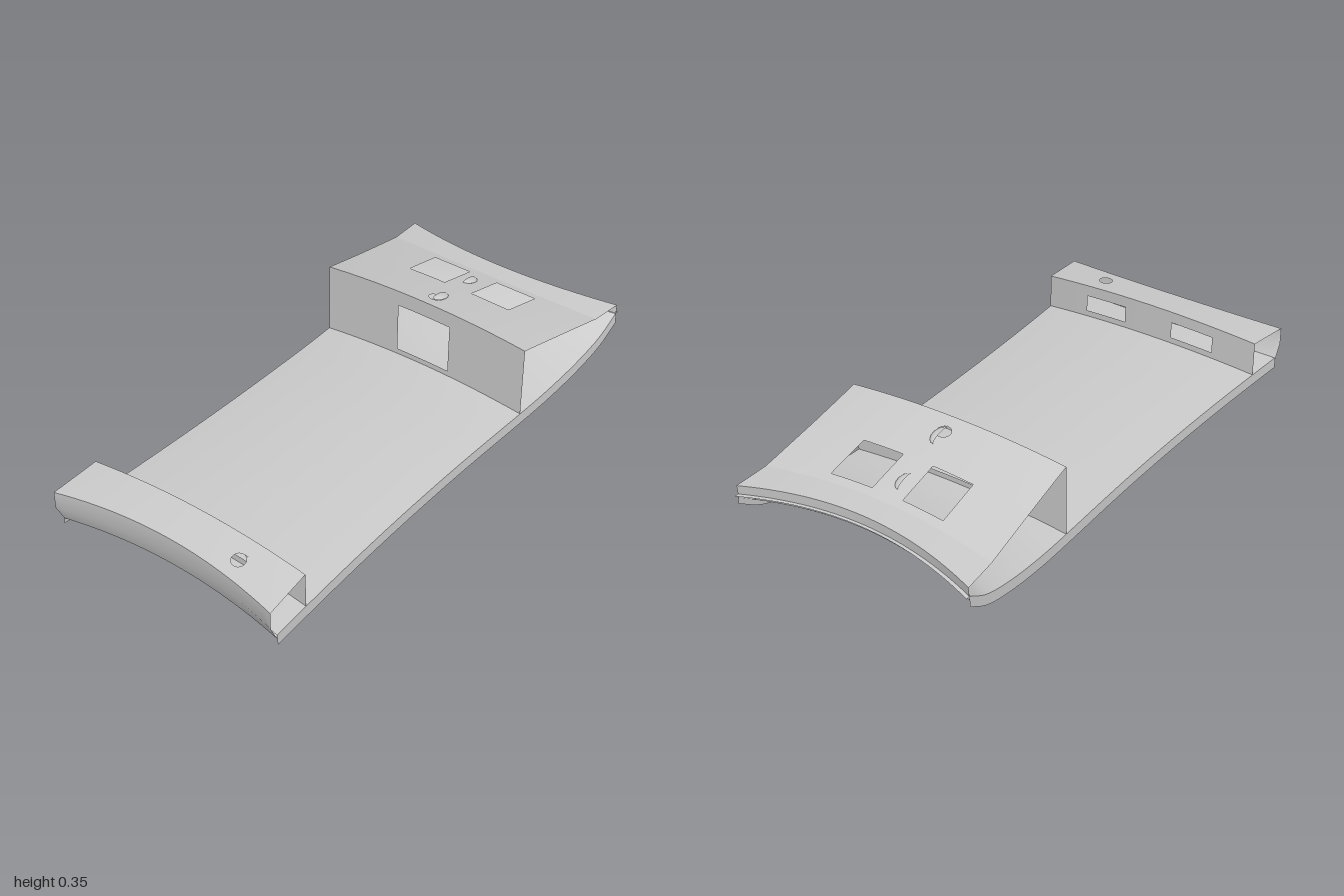
import * as THREE from 'three';
import { mergeGeometries } from 'three/addons/utils/BufferGeometryUtils.js';

const material = new THREE.MeshStandardMaterial({ color: 0xcccccc, side: THREE.DoubleSide });
const CAMBER = 0.025;
const halfWidth = (x) => 0.428 + 0.037 * x * x;

// A point of a cambered, waisted skin: t runs from -1 to 1 across the width
function place([x, y, bow], t) {
  const px = x + bow * t * t;
  return [px, y - CAMBER * t * t, t * halfWidth(px)];
}

// Profile point [x, y, bow] where coordinate `axis` equals s
function sample(profile, axis, s) {
  let i = 0;
  while (i < profile.length - 2 && s > profile[i + 1][axis]) i++;
  const a = profile[i], b = profile[i + 1];
  const f = (s - a[axis]) / (b[axis] - a[axis]);
  return a.map((v, k) => v + (b[k] - v) * f);
}

// Sweep a profile across the width. Holes are {s: [from, to], z: [from, to], round}
function skinGeometry(profile, axis, holes = []) {
  const sorted = (list) => [...new Set(list.map((v) => +v.toFixed(5)))].sort((a, b) => a - b);
  const toT = (z) => z / 0.44;
  const cols = sorted([...profile.map((p) => p[axis]), ...holes.flatMap((h) => h.s)]);
  const rows = sorted([...Array.from({ length: 33 }, (_, i) => i / 16 - 1), ...holes.flatMap((h) => h.z.map(toT))]);
  const positions = [], index = [];
  for (const s of cols) for (const t of rows) positions.push(...place(sample(profile, axis, s), t));
  const n = rows.length;
  for (let i = 0; i < cols.length - 1; i++) {
    for (let j = 0; j < n - 1; j++) {
      const s = (cols[i] + cols[i + 1]) / 2, t = (rows[j] + rows[j + 1]) / 2;
      if (holes.some((h) => s > h.s[0] && s < h.s[1] && t > toT(h.z[0]) && t < toT(h.z[1]))) continue;
      const a = i * n + j, b = a + 1, c = a + n, d = c + 1;
      index.push(a, b, c, b, d, c);
    }
  }
  const grid = new THREE.BufferGeometry();
  grid.setAttribute('position', new THREE.Float32BufferAttribute(positions, 3));
  grid.setIndex(index);
  grid.computeVertexNormals();
  const parts = [grid];

  // Fill the corners around each round opening
  for (const { s, z, round } of holes) {
    if (!round) continue;
    const patch = new THREE.Shape([[0, 0], [1, 0], [1, 1], [0, 1]].map(
      ([u, v]) => new THREE.Vector2(s[u], z[v])));
    patch.holes.push(new THREE.Path().absellipse((s[0] + s[1]) / 2, (z[0] + z[1]) / 2,
      (s[1] - s[0]) * 0.48, (z[1] - z[0]) * 0.48, 0, Math.PI * 2));
    const g = new THREE.ShapeGeometry(patch, 16);
    const p = g.attributes.position;
    for (let i = 0; i < p.count; i++) p.setXYZ(i, ...place(sample(profile, axis, p.getX(i)), toT(p.getY(i))));
    const ids = g.index.array;
    for (let i = 0; i < ids.length; i += 3) [ids[i], ids[i + 1]] = [ids[i + 1], ids[i]];
    g.deleteAttribute('uv');
    g.computeVertexNormals();
    parts.push(g);
  }
  return mergeGeometries(parts);
}

export function createModel() {
  const model = new THREE.Group();
  const add = (name, geometry) => {
    const mesh = new THREE.Mesh(geometry, material);
    mesh.name = name;
    model.add(mesh);
    return mesh;
  };

  // Long lower shell, curling up at the +x end
  const curve = new THREE.CatmullRomCurve3([
    [-0.935, 0.05, -0.035], [-0.81, 0.051, -0.012], [-0.4, 0.056, 0], [0, 0.06, 0], [0.41, 0.064, 0],
    [0.55, 0.073, 0.02], [0.7, 0.099, 0.045], [0.82, 0.14, 0.066], [0.91, 0.2, 0.075],
  ].map((p) => new THREE.Vector3(...p)), false, 'centripetal');
  const hull = curve.getPoints(48).map((p) => p.toArray());
  const raised = hull.map(([x, y, b]) => [x, y + 0.015, b]);
  add('hullUnderside', skinGeometry(hull, 0));
  add('floor', skinGeometry(raised, 0));

  // Side lips hanging below the shell edges
  for (const side of [1, -1]) {
    const pos = [], index = [];
    hull.forEach((p, i) => {
      const [x, y, z] = place(p, side);
      pos.push(x, y + 0.015, z, x, y - 0.025, z + side * 0.003);
      if (i) {
        const a = 2 * i - 2;
        index.push(...(side > 0 ? [a, a + 1, a + 2, a + 1, a + 3, a + 2] : [a, a + 2, a + 1, a + 1, a + 2, a + 3]));
      }
    });
    const g = new THREE.BufferGeometry();
    g.setAttribute('position', new THREE.Float32BufferAttribute(pos, 3));
    g.setIndex(index);
    g.computeVertexNormals();
    add(side > 0 ? 'frontLip' : 'backLip', g);
  }

  // Low cap at the -x end, open at both sides
  add('lowCapWall', skinGeometry([[-0.805, 0.065, -0.01], [-0.805, 0.2, -0.01]], 1,
    [-1, 1].map((k) => ({ s: [0.09, 0.155], z: k > 0 ? [0.1, 0.27] : [-0.27, -0.1] }))));
  add('lowCapTop', skinGeometry([[-0.955, 0.18, -0.045], [-0.805, 0.2, -0.01]], 0,
    [{ s: [-0.914, -0.862], z: [0.214, 0.266], round: true }]));
  add('lowCapEnd', skinGeometry([[-0.935, 0.05, -0.035], [-0.955, 0.115, -0.045], [-0.955, 0.18, -0.045]], 1));

  // High cap at the +x end: wall with a doorway, sloping deck with two hatches
  add('highCapWall', skinGeometry([[0.41, 0.078, 0], [0.415, 0.35, 0]], 1,
    [{ s: [0.1, 0.29], z: [-0.115, 0.115] }]));
  add('highCapDeck', skinGeometry([[0.415, 0.35, 0], [0.6, 0.307, 0.01], [0.82, 0.255, 0.035]], 0, [
    { s: [0.625, 0.787], z: [0.06, 0.22] },
    { s: [0.625, 0.787], z: [-0.22, -0.06] },
    { s: [0.46, 0.51], z: [-0.028, 0.028], round: true },
  ]));
  add('highCapShelf', skinGeometry([[0.82, 0.255, 0.035], [0.91, 0.25, 0.078]], 0));
  add('highCapRim', skinGeometry([[0.91, 0.215, 0.075], [0.91, 0.25, 0.078]], 1));
  add('endFlange', skinGeometry([[0.905, 0.216, 0.075], [0.921, 0.214, 0.079]], 0));

  // Small hoods over the deck vents, open towards the wall
  for (const [x, y, z, r] of [[0.505, 0.329, 0, 0.03], [0.72, 0.278, -0.018, 0.028]]) {
    const hood = add('ventHood', new THREE.SphereGeometry(1, 20, 8, -Math.PI / 2, Math.PI, 0, Math.PI));
    hood.geometry.rotateZ(Math.PI / 2).rotateX(-Math.PI / 2);
    hood.geometry.computeBoundingBox();
    // Keep only the upper half of the dome above the deck
    const p = hood.geometry.attributes.position;
    for (let i = 0; i < p.count; i++) p.setY(i, Math.abs(p.getY(i)));
    hood.geometry.computeVertexNormals();
    hood.scale.set(r * 1.4, 0.012, r);
    hood.rotation.z = -0.23;
    hood.position.set(x, y, z);
  }
  return model;
}
